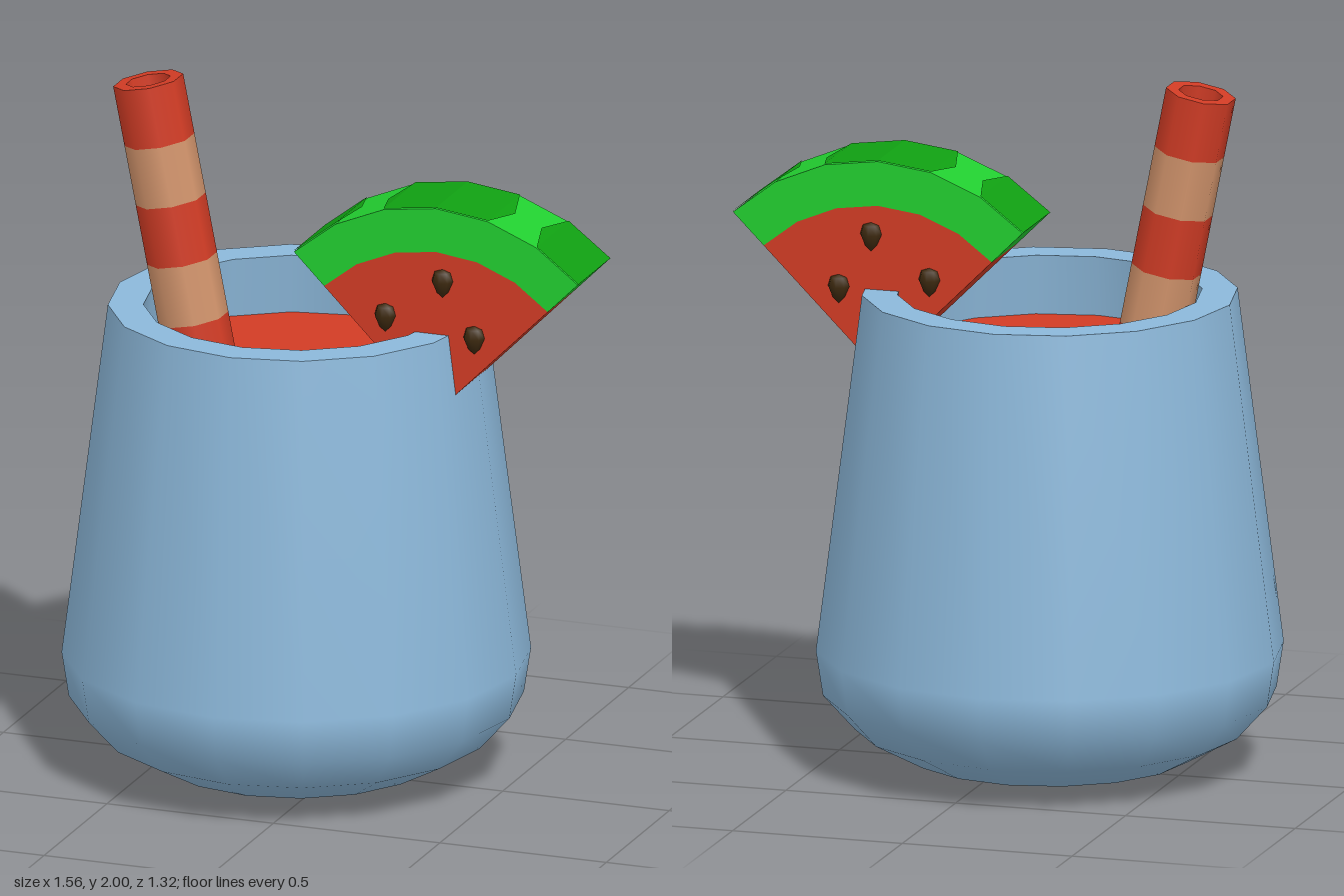
import * as THREE from 'three';

const material = (name, color, side = THREE.FrontSide) => {
  const m = new THREE.MeshStandardMaterial({ color, side });
  m.name = name;
  return m;
};

function add(parent, name, geometry, mat) {
  const mesh = new THREE.Mesh(geometry, mat);
  mesh.name = name;
  parent.add(mesh);
  return mesh;
}

const lathe = (points, sides) =>
  new THREE.LatheGeometry(points.map(([r, y]) => new THREE.Vector2(r, y)), sides);

export function createModel() {
  const model = new THREE.Group();
  model.name = 'fruitDrink';

  const blue = material('cupBlue', 0x8cb8da);
  const red = material('juiceRed', 0xd23c25);
  const tan = material('strawTan', 0xd2946c);
  const lightGreen = material('lightGreen', 0x22d030);
  const darkGreen = material('darkGreen', 0x10a012, THREE.DoubleSide);
  const brown = material('seedBrown', 0x3e2a10);

  // Cup: smooth outer wall, crisp base and rim, inner wall
  const cup = new THREE.Group();
  cup.name = 'cup';
  cup.position.x = -0.12;
  model.add(cup);
  add(cup, 'cupBase', lathe([[0, 0.003], [0.21, 0.006]], 16), blue);
  add(cup, 'cupWall', lathe([
    [0.21, 0.006], [0.40, 0.04], [0.55, 0.12], [0.64, 0.22], [0.66, 0.35], [0.53, 1.375],
  ], 16), blue);
  add(cup, 'cupRim', lathe([[0.53, 1.375], [0.43, 1.375]], 16), blue);
  add(cup, 'cupInside', lathe([[0.43, 1.375], [0.46, 1.15]], 16), blue);

  // Juice surface
  add(cup, 'juice', lathe([[0.453, 1.2], [0, 1.2]], 16), red);

  // Leaning striped straw, measured down from its open top
  const straw = new THREE.Group();
  straw.name = 'straw';
  straw.position.set(-0.565, 1.982, 0);
  straw.rotation.z = 0.195;
  model.add(straw);
  const band = 0.175, turn = Math.PI / 8;
  for (let i = 0; i < 5; i++) {
    const g = new THREE.CylinderGeometry(0.1, 0.1, band, 8, 1, true);
    g.rotateY(turn).translate(0, -band * (i + 0.5), 0);
    add(straw, 'strawBand', g, i % 2 ? tan : red);
  }
  [[[0.1, 0], [0.064, 0]], [[0.064, 0], [0.064, -0.1]], [[0.064, -0.1], [0, -0.1]]]
    .forEach((profile, i) => add(straw, ['strawLip', 'strawBore', 'strawBoreEnd'][i],
      lathe(profile, 8).rotateY(turn), red));

  // Melon slice: quarter wedge with its tip hidden in the cup
  const melon = new THREE.Group();
  melon.name = 'melonSlice';
  melon.position.set(0.347, 1.143, 0);
  model.add(melon);
  const W = 0.127, R = 0.603, r = 0.475, N = 6;
  const arc = (radius, i) => {
    const a = Math.PI * (0.75 - 0.5 * i / N);
    return new THREE.Vector2(radius * Math.cos(a), radius * Math.sin(a));
  };
  const ring = (radius) => Array.from({ length: N + 1 }, (_, i) => arc(radius, i));
  const slab = (points) => new THREE.ExtrudeGeometry(new THREE.Shape(points),
    { depth: 2 * W, bevelEnabled: false }).translate(0, 0, -W);
  add(melon, 'melonFlesh', slab([new THREE.Vector2(0, 0), ...ring(r)]), red);
  add(melon, 'melonRind', slab([...ring(r), ...ring(R).reverse()]), lightGreen);

  // Dark skin, leaving two light stripes pinched at the middle
  const skin = [];
  const at = (i, t, z) => {
    const p = arc(R + 0.003, i).lerp(arc(R + 0.003, i + 1), t);
    return [p.x, p.y, z];
  };
  for (let i = 0; i < N; i++) {
    if (i === 1 || i === 4) {
      skin.push(...at(i, 0, -W), ...at(i, 0, W), ...at(i, 0.23, 0));
      skin.push(...at(i, 1, W), ...at(i, 1, -W), ...at(i, 0.77, 0));
    } else {
      skin.push(...at(i, 0, -W), ...at(i, 0, W), ...at(i, 1, W));
      skin.push(...at(i, 0, -W), ...at(i, 1, W), ...at(i, 1, -W));
    }
  }
  const skinGeometry = new THREE.BufferGeometry();
  skinGeometry.setAttribute('position', new THREE.Float32BufferAttribute(skin, 3));
  skinGeometry.computeVertexNormals();
  add(melon, 'melonSkin', skinGeometry, darkGreen);

  // Teardrop seeds on both faces
  const seed = lathe([[0, -0.045], [0.018, -0.027], [0.032, 0.005], [0.024, 0.031], [0, 0.039]], 8);
  for (const [x, y] of [[0.195, 1.41], [0.367, 1.53], [0.462, 1.373]]) {
    for (const side of [-1, 1]) {
      add(melon, 'seed', seed, brown)
        .position.set(x - melon.position.x, y - melon.position.y, side * (W - 0.001));
    }
  }
  return model;
}
